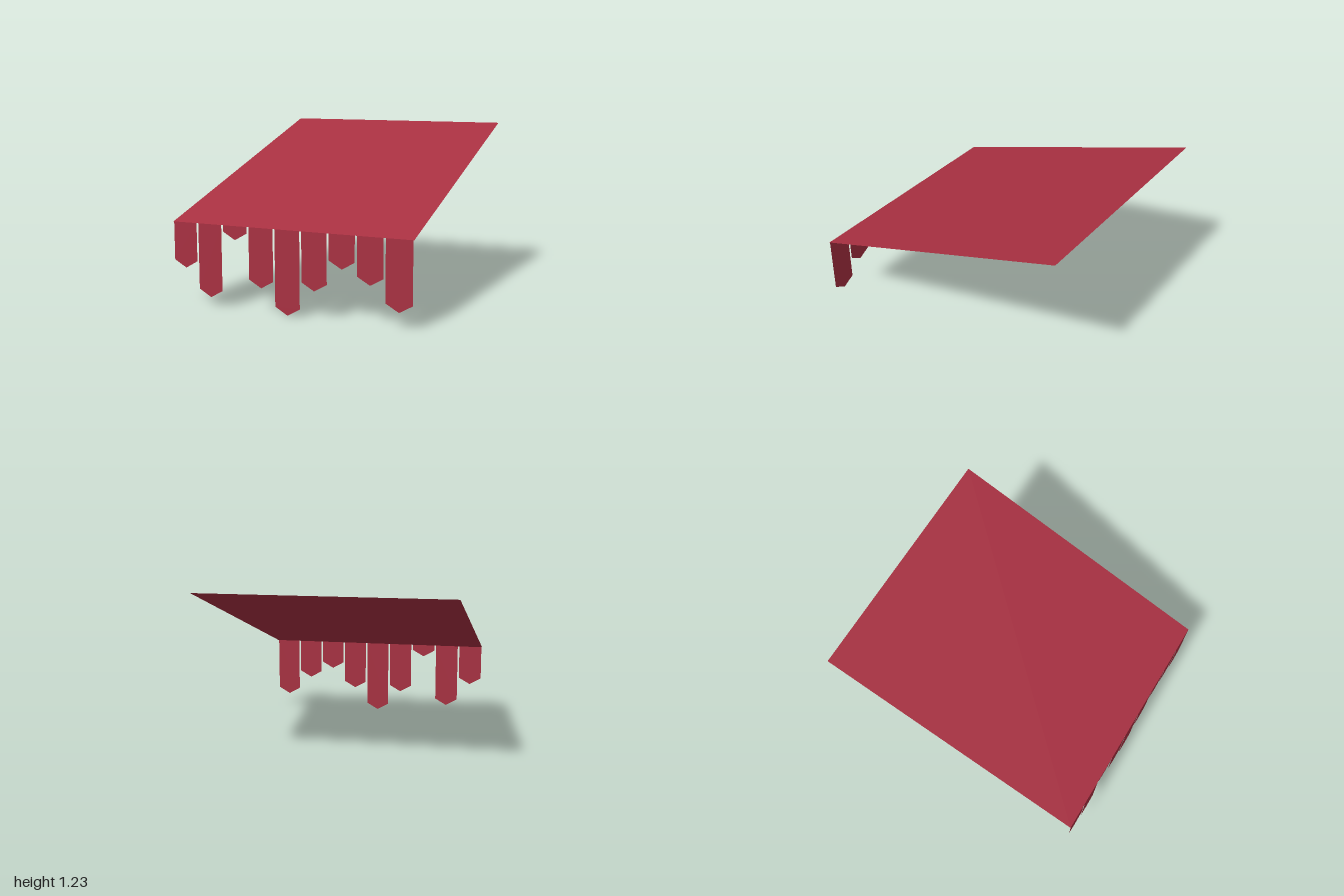
import * as THREE from 'three';

export function createModel() {
  const model = new THREE.Group();
  const redCloth = new THREE.MeshStandardMaterial({ color: 0xa83041, side: THREE.DoubleSide });
  redCloth.name = 'redCloth';

  const frontY = 0.588, backY = 1.225, halfWidth = 0.905;

  // Sloping canopy sheet, low at the front
  const rise = backY - frontY;
  const sheet = new THREE.PlaneGeometry(halfWidth * 2, Math.hypot(2, rise));
  sheet.rotateX(-Math.atan2(2, rise));
  const canopy = new THREE.Mesh(sheet, redCloth);
  canopy.name = 'canopy';
  canopy.position.y = (frontY + backY) / 2;
  model.add(canopy);

  // Pointed strips of uneven length hanging from the front edge
  const valance = new THREE.Group();
  valance.name = 'valance';
  const tipHeights = [0.262, 0.067, 0.49, 0.17, 0, 0.188, 0.355, 0.266, 0.107];
  const spacing = 0.2015, half = 0.0935, point = 0.053;
  tipHeights.forEach((tip, i) => {
    const shape = new THREE.Shape();
    shape.moveTo(-half, frontY);
    shape.lineTo(-half, tip + point);
    shape.lineTo(0, tip);
    shape.lineTo(half, tip + point);
    shape.lineTo(half, frontY);
    shape.closePath();
    const strip = new THREE.Mesh(new THREE.ShapeGeometry(shape), redCloth);
    strip.name = `valanceStrip${i + 1}`;
    strip.position.set((i - 4) * spacing, 0, 1);
    valance.add(strip);
  });
  model.add(valance);

  return model;
}
